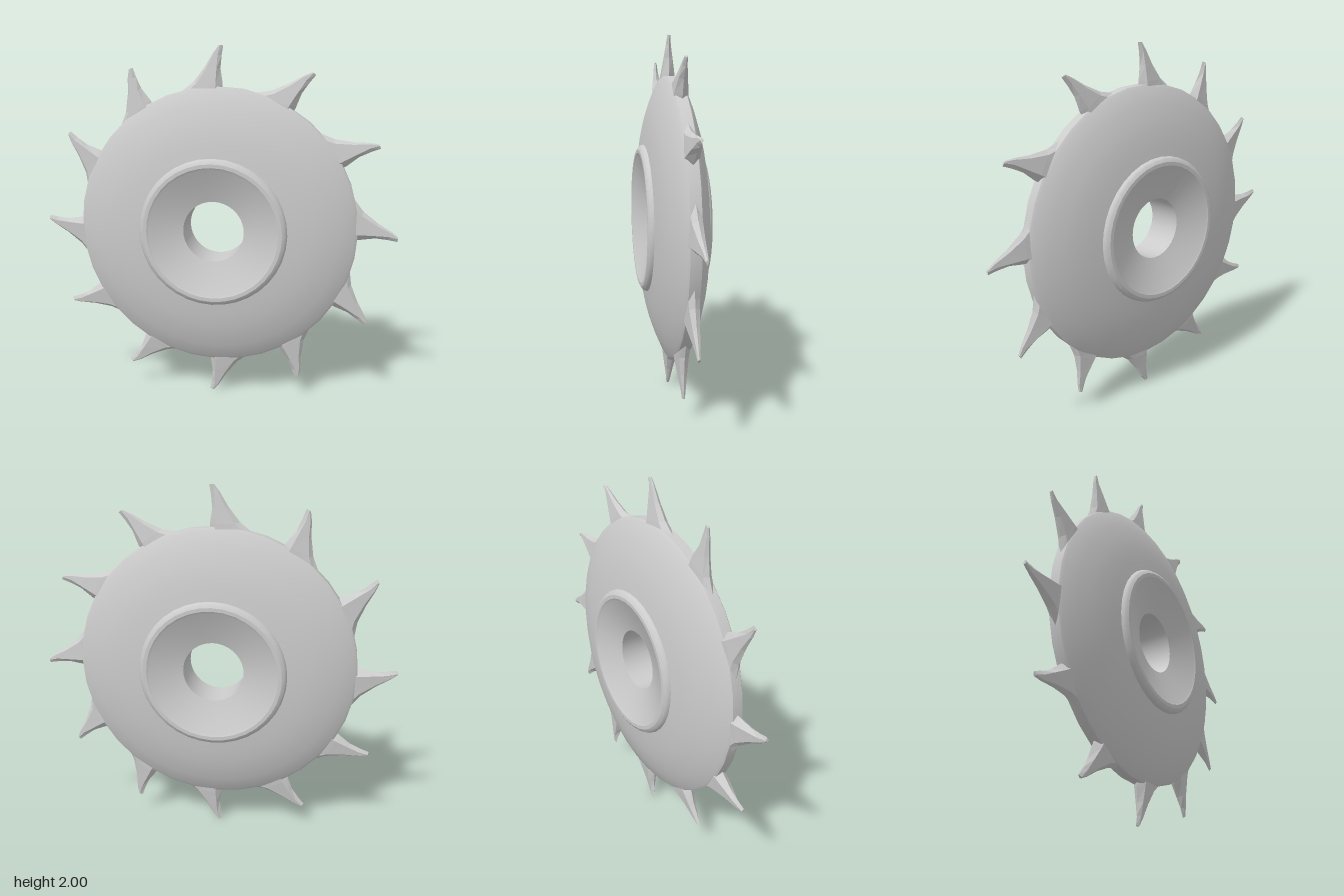
import * as THREE from 'three';
import { toCreasedNormals } from 'three/addons/utils/BufferGeometryUtils.js';

const smooth = new THREE.MeshStandardMaterial({ color: 0xcccccc });
const faceted = new THREE.MeshStandardMaterial({ color: 0xcccccc, flatShading: true });

// Turned part around the z axis; half profile [radius, z] is mirrored front to back
function turned(name, half, bore = []) {
  const back = half.map(([r, z]) => [r, -z]).reverse();
  const points = [...back, ...half, ...bore].map(([r, z]) => new THREE.Vector2(r, z));
  const geo = new THREE.LatheGeometry(points, 36);
  geo.rotateX(Math.PI / 2);
  const mesh = new THREE.Mesh(toCreasedNormals(geo, 0.5), smooth);
  mesh.name = name;
  return mesh;
}

// Hooked tooth: hexagonal sections lofted from root to tip
function toothGeometry() {
  // back ridge x,y | cheek x,y | leading ridge x,y | half thickness
  const sections = [
    [-0.215, 0.74, 0.0, 0.74, 0.035, 0.74, 0.04],
    [-0.125, 0.81, 0.0, 0.80, 0.034, 0.80, 0.034],
    [-0.062, 0.89, 0.004, 0.88, 0.022, 0.88, 0.023],
    [-0.016, 0.965, 0.008, 0.95, 0.028, 0.945, 0.013],
    [0.012, 1.0, 0.02, 1.0, 0.037, 0.998, 0.008],
  ];
  const positions = [];
  for (const [bx, by, cx, cy, lx, ly, t] of sections) {
    const sx = bx + (cx - bx) * 0.16, sy = by + (cy - by) * 0.16 - t * 0.2;
    positions.push(
      bx, by, 0, sx, sy, t * 0.75, cx, cy, t,
      lx, ly, 0, cx, cy, -t, sx, sy, -t * 0.75,
    );
  }
  const index = [];
  const n = 6, last = (sections.length - 1) * n;
  for (let s = 0; s < last; s += n) {
    for (let i = 0; i < n; i++) {
      const a = s + i, b = s + (i + 1) % n;
      index.push(a, b, b + n, a, b + n, a + n);
    }
  }
  for (let i = 1; i < n - 1; i++) index.push(last, last + i, last + i + 1); // tip cap
  const geo = new THREE.BufferGeometry();
  geo.setAttribute('position', new THREE.Float32BufferAttribute(positions, 3));
  geo.setIndex(index);
  geo.computeVertexNormals();
  return geo;
}

export function createModel() {
  const wheel = new THREE.Group();
  wheel.name = 'toothedWheel';

  // Lens-shaped disc
  wheel.add(turned('disc', [
    [0.785, 0.028], [0.77, 0.04], [0.69, 0.074], [0.62, 0.099],
    [0.55, 0.117], [0.47, 0.131], [0.39, 0.141],
  ]));

  // Raised hub with conical recesses and a through bore
  wheel.add(turned('hub', [
    [0.413, 0.13], [0.41, 0.145], [0.402, 0.158], [0.385, 0.168],
    [0.365, 0.168], [0.352, 0.16], [0.17, 0.1],
  ], [[0.17, -0.1]]));

  // Ring of twelve teeth
  const teeth = new THREE.Group();
  teeth.name = 'teeth';
  const geo = toothGeometry();
  for (let k = 0; k < 12; k++) {
    const tooth = new THREE.Mesh(geo, faceted);
    tooth.name = 'tooth';
    tooth.rotation.z = k * Math.PI / 6;
    teeth.add(tooth);
  }
  wheel.add(teeth);

  wheel.position.y = 1;
  const model = new THREE.Group();
  model.name = 'model';
  model.add(wheel);
  return model;
}
